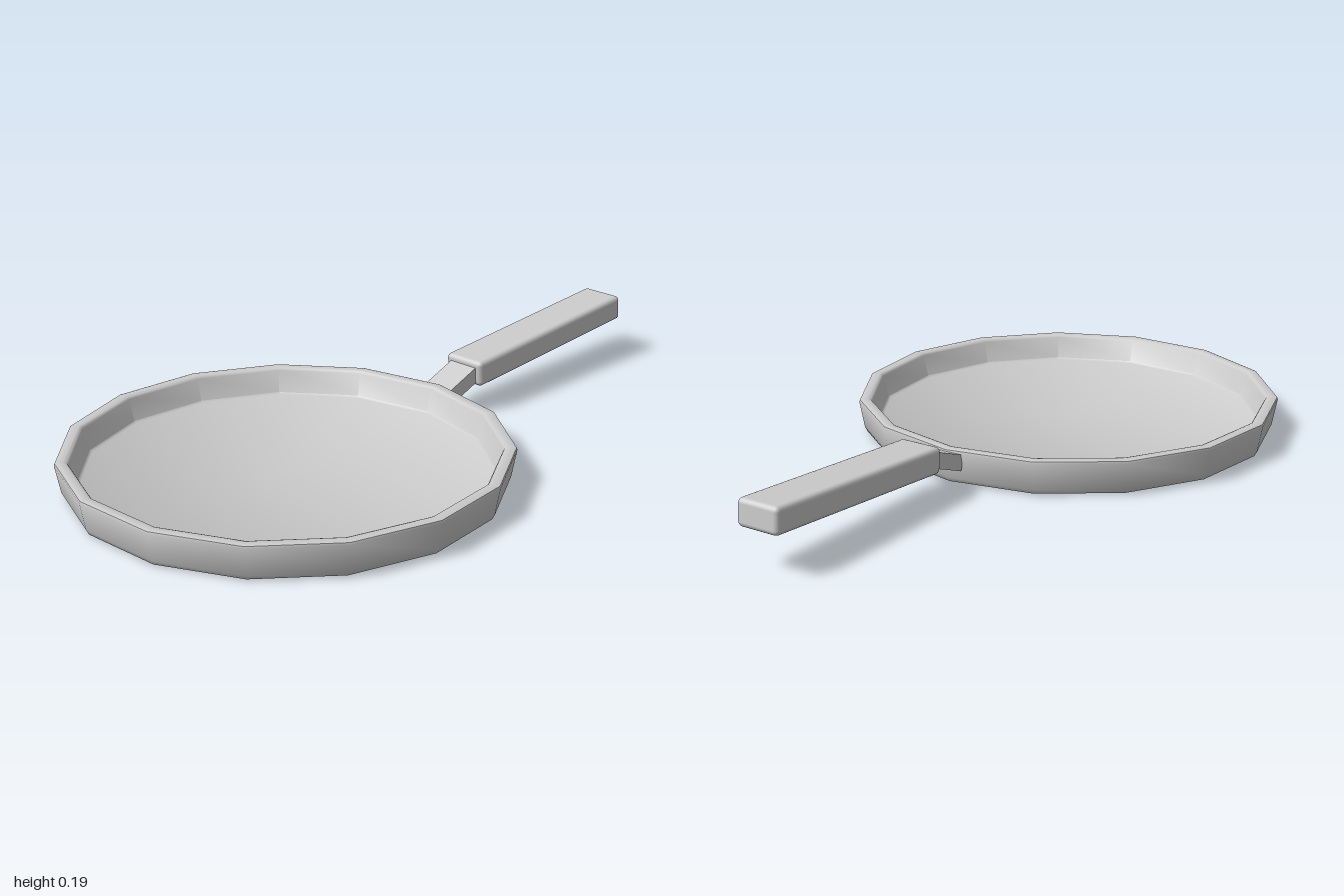
import * as THREE from 'three';
import { toCreasedNormals } from 'three/addons/utils/BufferGeometryUtils.js';
import { RoundedBoxGeometry } from 'three/addons/geometries/RoundedBoxGeometry.js';

const SIDES = 15;
const PAN_X = -0.394;

export function createModel() {
  const model = new THREE.Group();
  model.name = 'fryingPan';
  const material = new THREE.MeshStandardMaterial({ color: 0xcccccc });

  function add(name, geometry, x, y, tilt = 0) {
    const mesh = new THREE.Mesh(geometry, material);
    mesh.name = name;
    mesh.position.set(x, y, 0);
    mesh.rotation.z = tilt;
    model.add(mesh);
  }

  // Pan body: underside, flared wall, bevelled rim, inner wall and floor;
  // one corner points toward the handle
  const profile = [
    [0, 0], [0.583, 0], [0.597, 0.005], [0.604, 0.018],
    [0.619, 0.097], [0.617, 0.103], [0.611, 0.105],
    [0.592, 0.105], [0.586, 0.103], [0.582, 0.097],
    [0.565, 0.035], [0.558, 0.03], [0, 0.03],
  ].map(([r, y]) => new THREE.Vector2(r, y));
  const body = new THREE.LatheGeometry(profile, SIDES, Math.PI / 2);
  add('panBody', toCreasedNormals(body, 0.75), PAN_X, 0);

  // Neck rising from the wall to the grip
  add('handleNeck', new THREE.BoxGeometry(0.15, 0.045, 0.094), 0.277, 0.094, 0.35);

  // Grip with softened edges
  add('handleGrip', new RoundedBoxGeometry(0.67, 0.076, 0.132, 2, 0.014), 0.663, 0.137, 0.06);

  return model;
}
